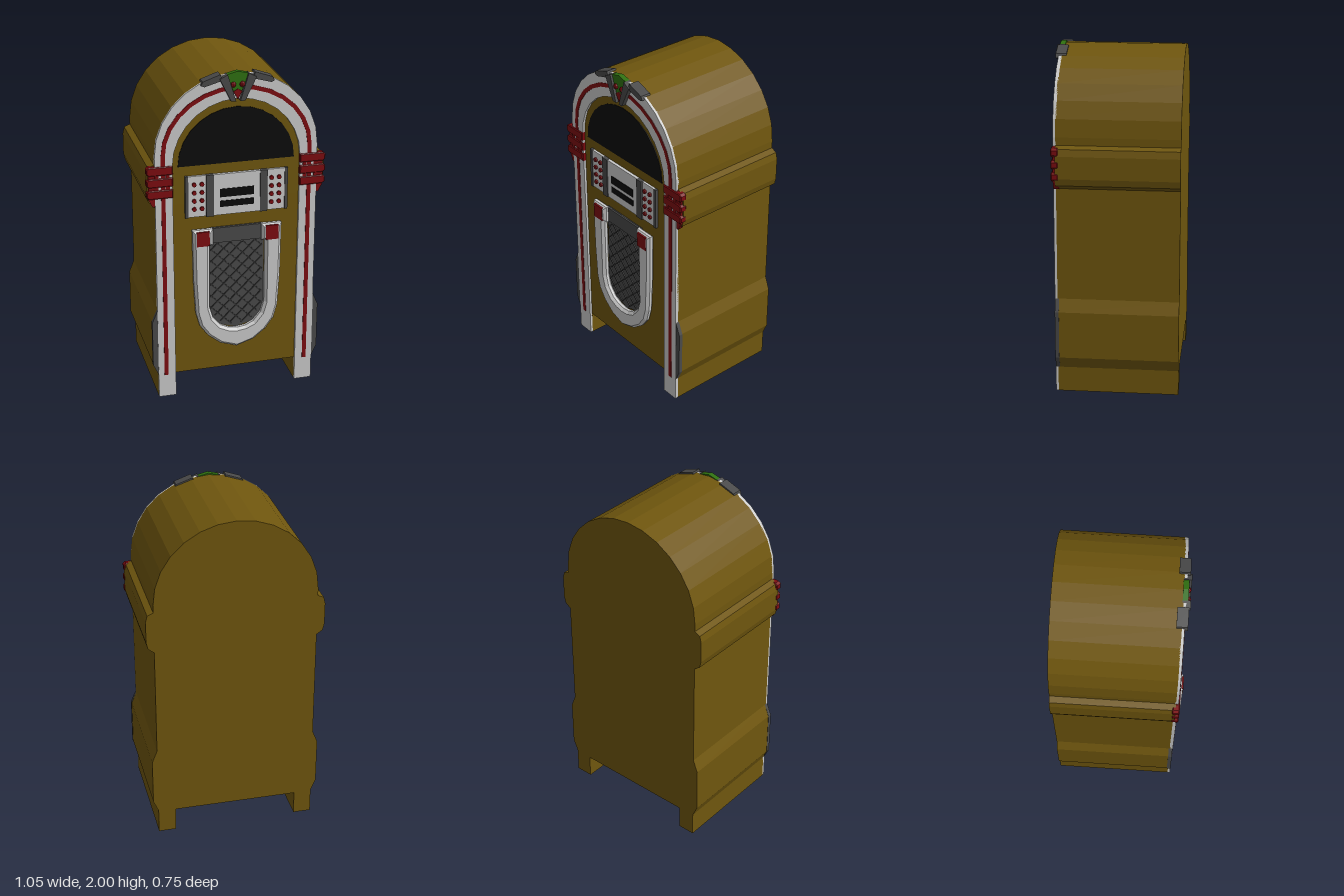
import * as THREE from 'three';

const material = (color) => new THREE.MeshStandardMaterial({ color, flatShading: true });
const gold = material(0x6f560e), grey = material(0xcccccc), dark = material(0x4a4a4a);
const black = material(0x0b0b0b), red = material(0x7d0c10), green = material(0x2f7010), slat = material(0x343434);

// Half outline on the +x side, mirrored into a closed loop of points
const mirrored = (half) => [...half, ...half.slice().reverse().filter(([x]) => x > 1e-6).map(([x, y]) => [-x, y])];

// Quarter ellipse from the +x side up (ry > 0) or down (ry < 0) to the centre line
function quarter(cy, rx, ry, n = 7) {
  return Array.from({ length: n + 1 }, (_, i) => {
    const a = (i / n) * Math.PI / 2;
    return [i === n ? 0 : rx * Math.cos(a), cy + ry * Math.sin(a)];
  });
}

const flip = (points) => points.map(([x, y]) => [-x, y]).reverse();
const toShape = (points) => new THREE.Shape(points.map(([x, y]) => new THREE.Vector2(x, y)));

export function createModel() {
  const model = new THREE.Group();

  function add(name, geometry, mat) {
    const mesh = new THREE.Mesh(geometry, mat);
    mesh.name = name;
    model.add(mesh);
    return mesh;
  }
  // Flat plate between two depths, with an optional chamfered front rim
  function plate(name, points, z0, z1, mat, bevel = 0) {
    const geometry = new THREE.ExtrudeGeometry(toShape(points), {
      depth: z1 - z0 - 2 * bevel, bevelEnabled: bevel > 0, bevelSize: bevel, bevelOffset: -bevel,
      bevelThickness: bevel, bevelSegments: 1, curveSegments: 1,
    });
    geometry.translate(0, 0, z0 + bevel);
    return add(name, geometry, mat);
  }
  function box(name, x0, x1, y0, y1, z0, z1, mat) {
    const mesh = add(name, new THREE.BoxGeometry(x1 - x0, y1 - y0, z1 - z0), mat);
    mesh.position.set((x0 + x1) / 2, (y0 + y1) / 2, (z0 + z1) / 2);
    return mesh;
  }

  // Cabinet with side bulges and two foot rails
  plate('cabinet', mirrored([
    [0.37, 0.145], [0.37, 0], [0.475, 0], [0.475, 0.15], [0.505, 0.22], [0.505, 0.5], [0.475, 0.575],
    [0.475, 1.235], [0.51, 1.26], [0.52, 1.3], [0.52, 1.43], [0.51, 1.47], [0.475, 1.485],
    ...quarter(1.53, 0.475, 0.46),
  ]), -0.375, 0.33, gold);

  // Light front arch with its legs
  plate('frontArch', [
    [0.37, 0], [0.475, 0], ...quarter(1.53, 0.475, 0.46), ...flip(quarter(1.53, 0.475, 0.46)).slice(1),
    [-0.475, 0], [-0.37, 0], ...flip([...quarter(1.47, 0.373, 0.37)].reverse()),
    ...quarter(1.47, 0.373, 0.37).reverse().slice(1),
  ], 0.325, 0.345, grey);

  // Arched dark window
  plate('window', mirrored(quarter(1.46, 0.34, 0.33)), 0.325, 0.334, black);

  for (const s of [1, -1]) {
    const side = (points) => (s > 0 ? points : flip(points));
    const span = (name, a, b, y0, y1, z0, z1, mat) =>
      box(name, Math.min(a * s, b * s), Math.max(a * s, b * s), y0, y1, z0, z1, mat);

    // Red stripe along the arch
    plate('archStripe', side([
      [0.416, 0.145], [0.44, 0.145], ...quarter(1.53, 0.44, 0.388).slice(0, -1), [0.04, 1.915],
      [0.04, 1.892], ...quarter(1.53, 0.416, 0.364).slice(0, -1).reverse(),
    ]), 0.335, 0.348, red);

    // Dark plate over the front of the lower bulge
    plate('lowerSidePlate', side([[0.475, 0.15], [0.507, 0.22], [0.507, 0.5], [0.475, 0.575]]), 0.32, 0.343, dark);

    // Red clasp of three bands around the arch
    plate('claspBack', side([
      [0.47, 1.235], [0.49, 1.235], [0.512, 1.28], [0.512, 1.455], [0.475, 1.48], [0.46, 1.46], [0.46, 1.28],
    ]), 0.31, 0.342, red);
    for (let i = 0; i < 3; i++) {
      const y = 1.285 + i * 0.07;
      plate('claspBand', side([
        [0.372, y], [0.51, y], [0.524, y + 0.012], [0.524, y + 0.04], [0.51, y + 0.052], [0.372, y + 0.052],
      ]), 0.312, 0.353, red, 0.005);
    }
    span('claspLink', 0.39, 0.412, 1.29, 1.46, 0.33, 0.349, red);
    span('claspLink', 0.455, 0.475, 1.29, 1.46, 0.33, 0.349, red);

    // Selector panel trim and buttons
    span('panelDivider', 0.137, 0.18, 1.148, 1.402, 0.33, 0.354, dark);
    span('panelEnd', 0.284, 0.302, 1.148, 1.402, 0.33, 0.349, dark);
    for (let i = 0; i < 8; i++) {
      const button = add('button', new THREE.CylinderGeometry(0.013, 0.013, 0.012, 8), red);
      button.rotation.x = Math.PI / 2;
      button.position.set(s * (i % 2 ? 0.25 : 0.205), 1.2 + Math.floor(i / 2) * 0.05, 0.349);
    }

    // Red blocks at the top of the grille frame
    span('grilleBlock', 0.168, 0.243, 0.975, 1.064, 0.34, 0.378, red);

    // Dark crest arm and wing
    plate('crestArm', side([[0.012, 1.832], [0.04, 1.832], [0.105, 1.965], [0.06, 1.988]]), 0.325, 0.37, dark);
    plate('crestWing', side([[0.085, 1.955], [0.19, 1.925], [0.21, 1.932], [0.2, 1.955], [0.1, 1.99]]), 0.3, 0.362, dark);

    // Red berries on the crest
    const berry = add('crestBerry', new THREE.SphereGeometry(0.017, 8, 6), red);
    berry.position.set(s * 0.026, 1.925, 0.354);
  }

  // Green crest fill with a red tip
  plate('crestLeaf', mirrored([[0, 1.872], [0.022, 1.88], [0.062, 1.985], [0, 2]]), 0.325, 0.356, green);
  plate('crestTip', [[0, 1.84], [0.025, 1.885], [0, 1.9], [-0.025, 1.885]], 0.33, 0.36, red);

  // Selector panel with two slots
  box('selectorPanel', -0.3, 0.3, 1.15, 1.4, 0.325, 0.344, grey);
  box('centrePanel', -0.137, 0.137, 1.15, 1.4, 0.33, 0.348, grey);
  box('upperSlot', -0.1, 0.1, 1.26, 1.31, 0.34, 0.352, black);
  box('lowerSlot', -0.1, 0.1, 1.2, 1.237, 0.34, 0.352, black);

  // U-shaped grille frame
  const outer = [[0.265, 1.072], [0.26, 0.75], [0.248, 0.54], [0.225, 0.455], [0.175, 0.385], [0.1, 0.325], [0, 0.292]];
  const inner = [[0.145, 1.072], [0.145, 0.97], [0.165, 0.97], [0.165, 0.57], [0.145, 0.5], [0.1, 0.445], [0.05, 0.422], [0, 0.415]];
  plate('grilleFrame', [
    ...outer, ...flip(outer).slice(1), ...flip(inner).reverse(), ...inner.slice(0, -1).reverse(),
  ], 0.325, 0.375, grey, 0.016);

  // Grille backing, header and crossed slats
  plate('grilleBack', mirrored([[0.16, 1.07], [0.168, 0.57], [0.148, 0.498], [0.1, 0.44], [0, 0.41]]).reverse(), 0.325, 0.336, dark);
  box('grilleHeader', -0.15, 0.15, 0.975, 1.068, 0.33, 0.346, dark);
  const inside = (x, y) => Math.abs(x) < 0.158 && y < 0.965 && y > 0.585 - 0.155 * Math.sqrt(Math.max(0, 1 - (x / 0.165) ** 2));
  for (const s of [1, -1]) {
    for (let c = 0.33; c < 1.12; c += 0.075) {
      const xs = Array.from({ length: 65 }, (_, i) => -0.16 + i * 0.005).filter((x) => inside(x, c + s * x));
      if (xs.length < 4) continue;
      const a = xs[0], b = xs[xs.length - 1];
      const bar = add('grilleSlat', new THREE.BoxGeometry((b - a) * Math.SQRT2, 0.007, 0.008), slat);
      bar.position.set((a + b) / 2, c + s * (a + b) / 2, 0.337);
      bar.rotation.z = s * Math.PI / 4;
    }
  }

  return model;
}
